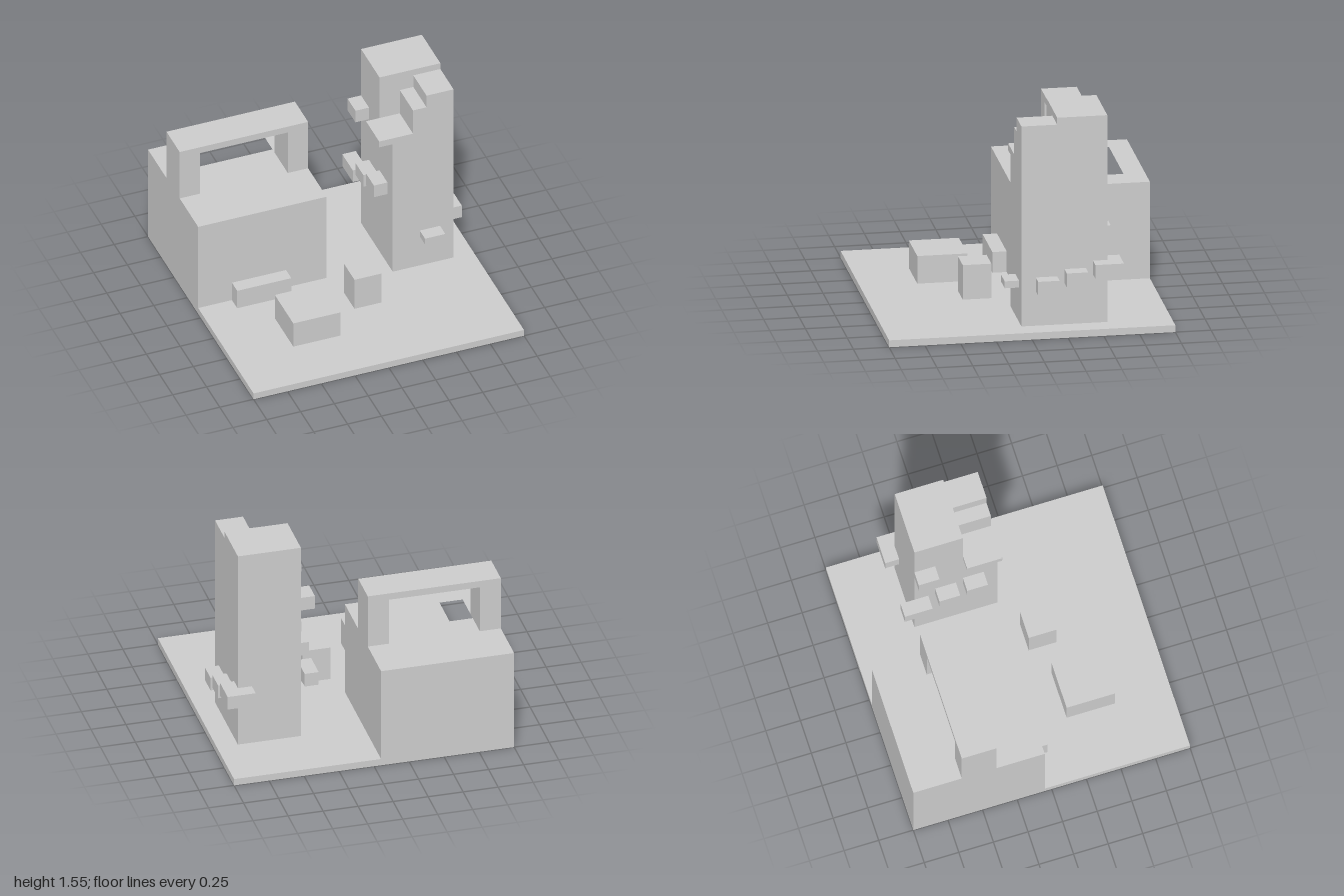
import * as THREE from 'three';

const material = new THREE.MeshStandardMaterial({ color: 0xcccccc, flatShading: true });

function addMesh(parent, name, geometry) {
  const mesh = new THREE.Mesh(geometry, material);
  mesh.name = name;
  parent.add(mesh);
  return mesh;
}

// Box given by its limits on each axis
function addBlock(parent, name, [x0, x1], [y0, y1], [z0, z1]) {
  const mesh = addMesh(parent, name, new THREE.BoxGeometry(x1 - x0, y1 - y0, z1 - z0));
  mesh.position.set((x0 + x1) / 2, (y0 + y1) / 2, (z0 + z1) / 2);
  return mesh;
}

const points = (list) => list.map(([a, b]) => new THREE.Vector2(a, b));

// Front outline (x, y) extruded from z0 to z1
function addProfile(parent, name, outline, [z0, z1]) {
  const geometry = new THREE.ExtrudeGeometry(new THREE.Shape(points(outline)), { depth: z1 - z0, bevelEnabled: false });
  geometry.translate(0, 0, z0);
  return addMesh(parent, name, geometry);
}

// Ground plan (x, z) extruded upwards from y0 to y1, with an optional hole
function addPlan(parent, name, outline, [y0, y1], hole) {
  const flip = (list) => points(list.map(([x, z]) => [x, -z]));
  const shape = new THREE.Shape(flip(outline));
  if (hole) shape.holes.push(new THREE.Path(flip(hole)));
  const geometry = new THREE.ExtrudeGeometry(shape, { depth: y1 - y0, bevelEnabled: false });
  geometry.rotateX(-Math.PI / 2).translate(0, y0, 0);
  return addMesh(parent, name, geometry);
}

const rect = (x0, x1, z0, z1) => [[x0, z0], [x1, z0], [x1, z1], [x0, z1]];

export function createModel() {
  const model = new THREE.Group();
  model.name = 'towerCourse';

  addBlock(model, 'basePlate', [-1, 1], [0, 0.05], [-1, 1]);

  // Wide building: solid lower part, open pit above, arch across the pit
  const building = new THREE.Group();
  building.name = 'building';
  model.add(building);
  addBlock(building, 'buildingBody', [-1, -0.05], [0.05, 0.5], [-1, -0.05]);
  addPlan(building, 'pitWalls', rect(-1, -0.05, -1, -0.05), [0.5, 0.75], rect(-0.85, -0.2, -0.85, -0.2));
  addProfile(building, 'arch', [
    [-1, 0.75], [-0.85, 0.75], [-0.85, 1.1], [-0.2, 1.1],
    [-0.2, 0.75], [-0.05, 0.75], [-0.05, 1.15], [-1, 1.15],
  ], [-0.65, -0.4]);

  // Loose blocks in front of the building
  addBlock(model, 'doorStep', [-0.75, -0.35], [0.05, 0.2], [-0.05, 0.05]);
  addBlock(model, 'largeBlock', [-0.55, -0.2], [0.05, 0.25], [0.25, 0.6]);
  addBlock(model, 'smallBlock', [0, 0.2], [0.05, 0.3], [0.15, 0.35]);

  // Tower: tall back and a stepped front with an overhanging landing
  const tower = new THREE.Group();
  tower.name = 'tower';
  model.add(tower);
  addBlock(tower, 'towerBack', [0.4, 0.85], [0.05, 1.55], [-0.55, -0.2]);
  addProfile(tower, 'towerFront', [
    [0.4, 0.05], [0.85, 0.05], [0.85, 1.5], [0.65, 1.5], [0.65, 1.4], [0.55, 1.4],
    [0.55, 1.2], [0.3, 1.2], [0.3, 1.15], [0.4, 1.15],
  ], [-0.2, 0.05]);

  // Climbing ledges around the tower: x, y and z limits
  const ledges = [
    ['frontLedge', [0.6, 0.75], [0.3, 0.35], [0.05, 0.15]],
    ['leftLedgeLow', [0.85, 0.95], [0.3, 0.4], [-0.2, -0.05]],
    ['leftLedgeHigh', [0.85, 0.95], [0.35, 0.45], [-0.4, -0.25]],
    ['rightLedgeRear', [0.3, 0.4], [0.5, 0.6], [-0.65, -0.45]],
    ['rightLedgeMiddle', [0.3, 0.4], [0.6, 0.7], [-0.4, -0.25]],
    ['rightLedgeFront', [0.3, 0.4], [0.65, 0.75], [-0.2, -0.05]],
    ['rightLedgeTop', [0.3, 0.4], [1.05, 1.15], [-0.55, -0.4]],
  ];
  for (const ledge of ledges) addBlock(tower, ...ledge);

  // Ledge wrapped around the rear left corner
  addPlan(tower, 'cornerLedge', [
    [0.75, -0.65], [0.95, -0.65], [0.95, -0.45], [0.85, -0.45], [0.85, -0.55], [0.75, -0.55],
  ], [0.4, 0.5]);

  return model;
}
